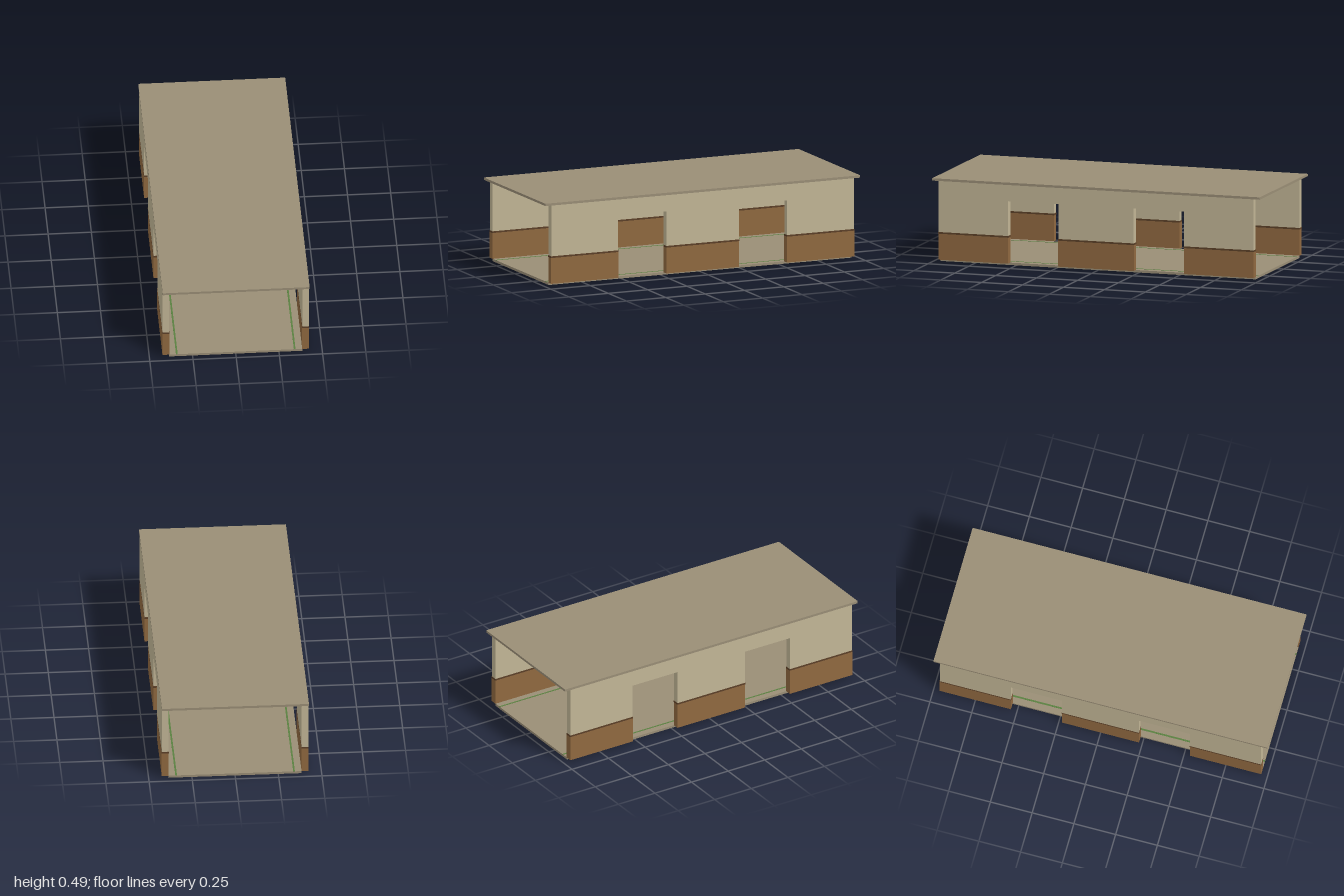
import * as THREE from 'three';

export function createModel() {
  const model = new THREE.Group();
  model.name = 'corridor';

  const mat = (name, color) => {
    const m = new THREE.MeshStandardMaterial({ color });
    m.name = name;
    return m;
  };
  const slabMat = mat('slab taupe', 0x9a8e76);
  const wallMat = mat('wall cream', 0xc2b696);
  const woodMat = mat('wainscot brown', 0x906940);
  const trimMat = mat('trim dark brown', 0x5c4028);
  const stripeMat = mat('stripe green', 0x5a8040);
  const frameMat = mat('lamp frame charcoal', 0x33342f);
  const panelMat = mat('lamp panel', 0xb0aa90);

  // box given by its lower and upper limits
  const box = (parent, name, material, [x0, x1], [y0, y1], [z0, z1]) => {
    const mesh = new THREE.Mesh(new THREE.BoxGeometry(x1 - x0, y1 - y0, z1 - z0), material);
    mesh.position.set((x0 + x1) / 2, (y0 + y1) / 2, (z0 + z1) / 2);
    mesh.name = name;
    parent.add(mesh);
  };

  const IN = 0.385, OUT = 0.424, LEN = 0.962;
  const FLOOR = 0.014, CEIL = 0.475, DOOR = 0.38, RAIL = 0.166, RAIL_TOP = 0.176;

  box(model, 'floor', slabMat, [-IN, IN], [0, FLOOR], [-LEN, LEN]);
  box(model, 'roof', slabMat, [-0.425, 0.425], [CEIL, 0.489], [-1, 1]);

  // side walls: three piers each, with two doorways between them
  const piers = [[-LEN, -0.537], [-0.23, 0.23], [0.537, LEN]];
  const doors = [[-0.537, -0.23], [0.23, 0.537]];
  for (const side of [-1, 1]) {
    const wall = new THREE.Group();
    wall.name = side > 0 ? 'leftWall' : 'rightWall';
    model.add(wall);
    const span = (grow) => {
      const a = IN - grow, b = OUT + Math.min(grow, 0.001);
      return side > 0 ? [a, b] : [-b, -a];
    };
    for (const [z0, z1] of piers) {
      box(wall, 'wainscot', woodMat, span(0.0005), [FLOOR, RAIL], [z0 - 0.001, z1 + 0.001]);
      box(wall, 'dadoRail', trimMat, span(0.001), [RAIL, RAIL_TOP], [z0 - 0.002, z1 + 0.002]);
      box(wall, 'upperWall', wallMat, span(0), [RAIL_TOP, CEIL], [z0, z1]);
    }
    for (const door of doors) box(wall, 'lintel', wallMat, span(0), [DOOR, CEIL], door);

    // guide stripe on the floor
    const sx = side * 0.341;
    box(model, 'floorStripe', stripeMat, [sx - 0.005, sx + 0.005], [FLOOR, FLOOR + 0.001], [-LEN, LEN]);

    // ceiling lamps
    for (let i = -2; i <= 2; i++) {
      const lamp = new THREE.Group();
      lamp.name = 'ceilingLamp';
      lamp.position.set(side * 0.192, 0, i * 0.375);
      model.add(lamp);
      box(lamp, 'lampFrame', frameMat, [-0.064, 0.064], [0.469, CEIL], [-0.064, 0.064]);
      box(lamp, 'lampPanel', panelMat, [-0.053, 0.053], [0.466, 0.469], [-0.053, 0.053]);
    }
  }
  return model;
}
